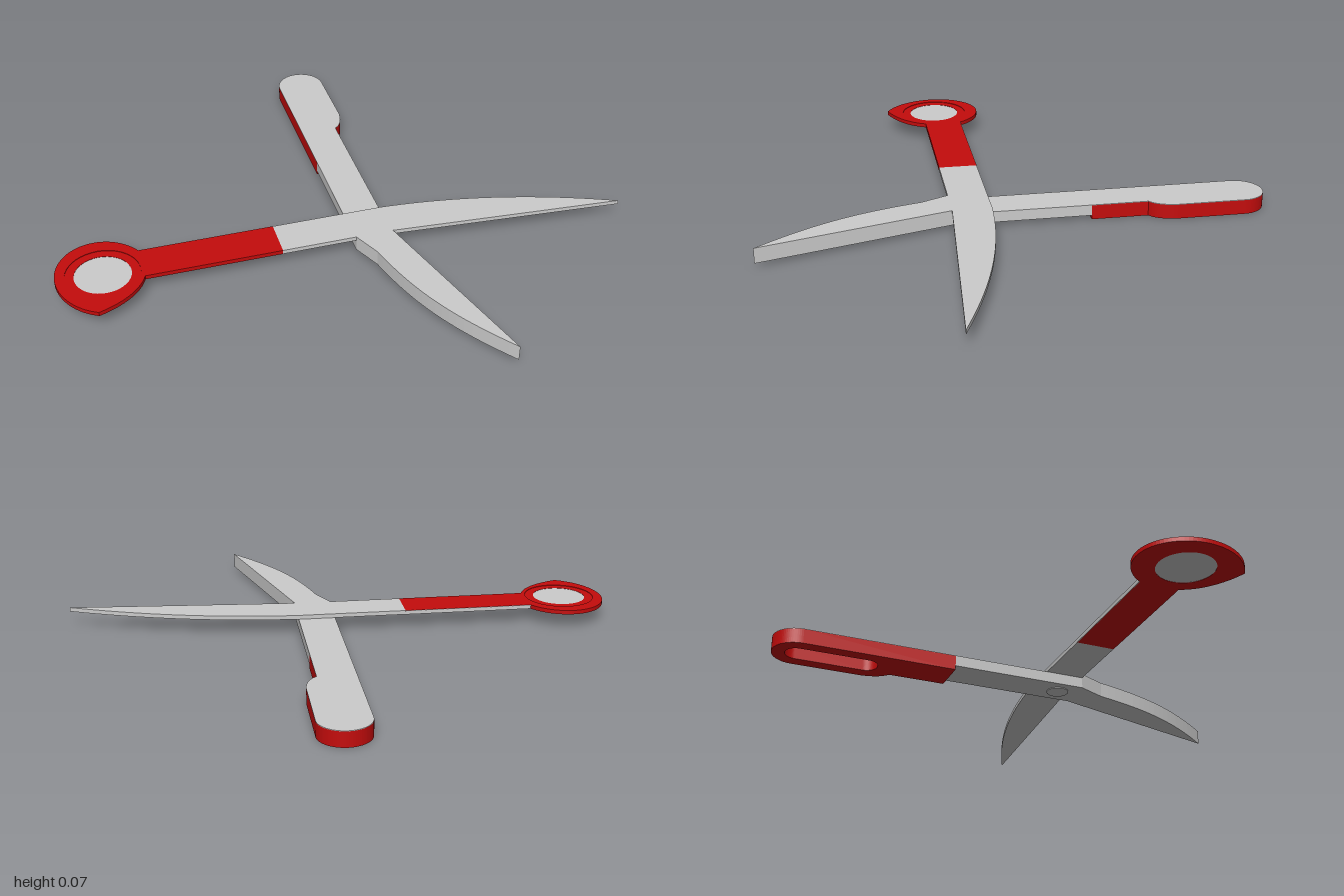
import * as THREE from 'three';

const grey = new THREE.MeshStandardMaterial({ color: 0xcccccc, side: THREE.DoubleSide });
const red = new THREE.MeshStandardMaterial({ color: 0xc40c0c, side: THREE.DoubleSide });

// Flat plate: the shape is drawn in (x, z) and fills the heights y0 to y1
function plate(name, shape, y0, y1, material) {
  const geo = new THREE.ExtrudeGeometry(shape, { depth: y1 - y0, bevelEnabled: false, curveSegments: 20 });
  geo.rotateX(Math.PI / 2).translate(0, y1, 0);
  const mesh = new THREE.Mesh(geo, material);
  mesh.name = name;
  return mesh;
}

const polygon = (pts) => new THREE.Shape(pts.map(([x, z]) => new THREE.Vector2(x, z)));

function circle(x, z, r, Type = THREE.Shape) {
  const s = new Type();
  s.absarc(x, z, r, 0, Math.PI * 2);
  return s;
}

// Outline of the long finger handle, from its front end at z = front
function handleOutline(front) {
  const s = new THREE.Shape();
  s.moveTo(0.033, front);
  s.lineTo(0.033, -0.82);
  s.absarc(0.122, -0.82, 0.089, Math.PI, Math.PI * 2);
  s.lineTo(0.211, -0.57);
  s.quadraticCurveTo(0.205, -0.5, 0.167, -0.475);
  s.lineTo(0.167, front);
  s.closePath();
  return s;
}

// Upper half: long blade, red shank and thumb ring
function upperHalf() {
  const g = new THREE.Group();
  g.name = 'upperHalf';
  const y0 = 0.055, y1 = 0.07;

  const blade = new THREE.Shape();
  blade.moveTo(-0.23, 0.085);
  blade.lineTo(0.167, 0.085);
  blade.bezierCurveTo(0.45, 0.1, 0.72, 0.165, 1, 0.29);
  blade.lineTo(0.167, 0.226);
  blade.lineTo(-0.23, 0.226);
  blade.closePath();
  g.add(plate('longBlade', blade, y0, y1, grey));

  // Ring with pointed underside, joined to the shank
  const handle = new THREE.Shape();
  handle.moveTo(-0.23, 0.085);
  handle.lineTo(-0.705, 0.085);
  handle.bezierCurveTo(-0.735, 0.035, -0.785, 0, -0.845, 0);
  handle.bezierCurveTo(-0.935, 0, -1, 0.08, -1, 0.17);
  handle.bezierCurveTo(-1, 0.25, -0.955, 0.33, -0.88, 0.366);
  handle.bezierCurveTo(-0.81, 0.345, -0.735, 0.3, -0.705, 0.226);
  handle.lineTo(-0.23, 0.226);
  handle.closePath();
  handle.holes.push(circle(-0.84, 0.178, 0.128, THREE.Path));
  g.add(plate('shankAndRing', handle, y0, y1, red));

  const lip = circle(-0.84, 0.178, 0.128);
  lip.holes.push(circle(-0.84, 0.178, 0.097, THREE.Path));
  g.add(plate('ringInnerLip', lip, y0, y1 - 0.002, red));
  g.add(plate('ringDisc', circle(-0.84, 0.178, 0.097), y0 + 0.001, y1 - 0.003, grey));

  // Bare metal edge along the back of the shank
  const edge = polygon([[-0.705, 0.084], [-0.23, 0.084], [-0.23, 0.086], [-0.705, 0.086]]);
  g.add(plate('shankBackEdge', edge, y0, y1 - 0.0005, grey));
  return g;
}

// Lower half: short blade, arm and slotted finger handle
function lowerHalf() {
  const g = new THREE.Group();
  g.name = 'lowerHalf';

  const blade = new THREE.Shape();
  blade.moveTo(0.033, 0.226);
  blade.lineTo(0.167, 0.226);
  blade.lineTo(0.357, 0.9);
  blade.bezierCurveTo(0.2, 0.7, 0.13, 0.55, 0.078, 0.325);
  blade.closePath();
  g.add(plate('shortBlade', blade, 0.015, 0.07, grey));

  const arm = polygon([[0.033, -0.27], [0.167, -0.27], [0.167, 0.226], [0.033, 0.226]]);
  g.add(plate('arm', arm, 0.015, 0.055, grey));

  // Red grip, hollowed by a long slot that opens downward
  const grip = handleOutline(-0.27);
  const slot = new THREE.Path();
  slot.absarc(0.122, -0.82, 0.043, Math.PI, Math.PI * 2);
  slot.absarc(0.122, -0.575, 0.043, 0, Math.PI);
  slot.closePath();
  grip.holes.push(slot);
  g.add(plate('grip', grip, 0, 0.053, red));
  g.add(plate('gripTopPlate', handleOutline(-0.27), 0.053, 0.055, grey));

  // Pivot head under the crossing
  g.add(plate('pivot', circle(0.1, 0.155, 0.04), 0.012, 0.02, grey));
  return g;
}

export function createModel() {
  const model = new THREE.Group();
  model.name = 'scissors';
  model.add(upperHalf(), lowerHalf());
  return model;
}
